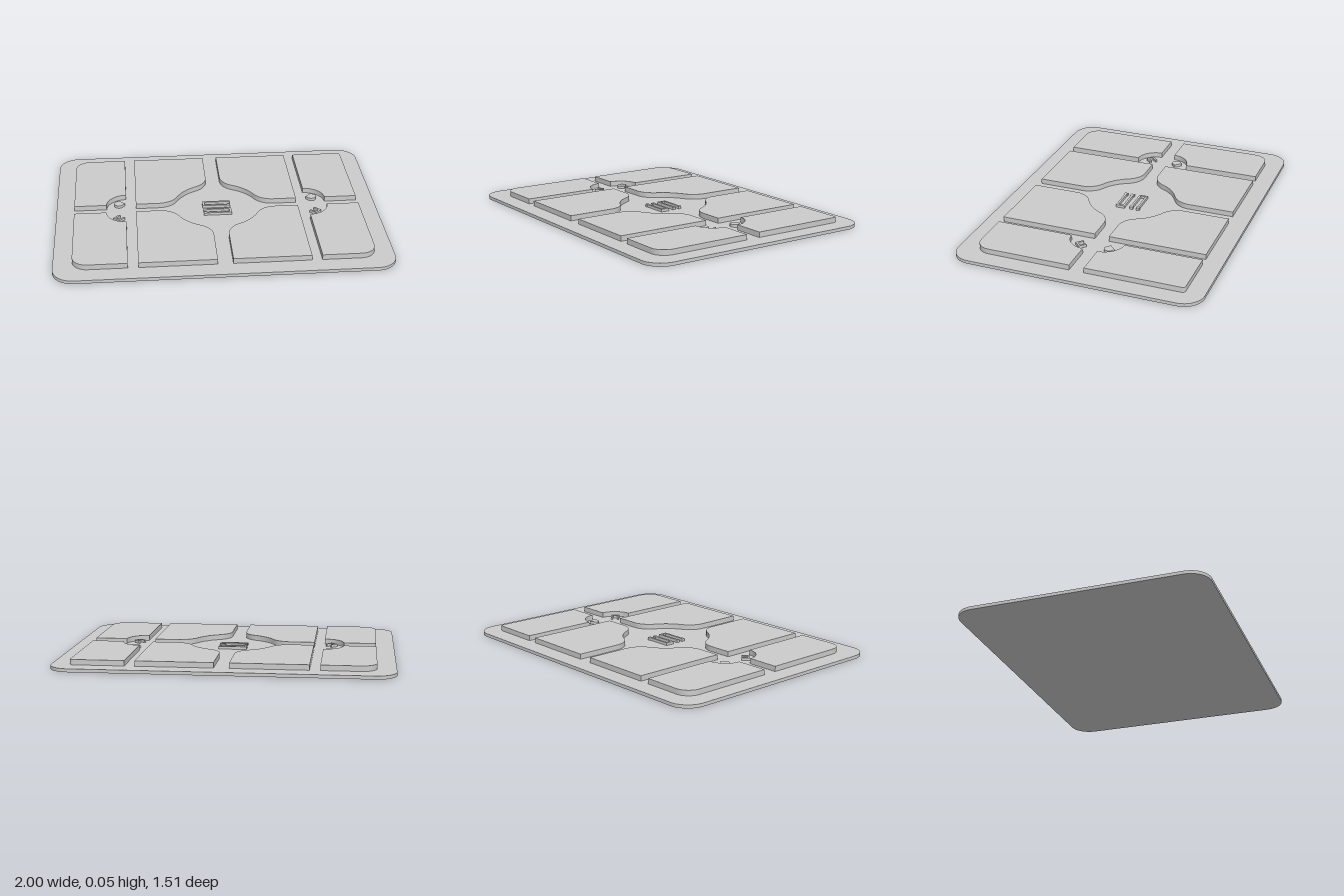
import * as THREE from 'three';
import { toCreasedNormals } from 'three/addons/utils/BufferGeometryUtils.js';

const material = new THREE.MeshStandardMaterial({ color: 0xcccccc });
const BASE_TOP = 0.02, BLOCK_TOP = 0.052, MARK_TOP = 0.037;

// Upright prism from an outline of [x, z] points
function prism(name, points, y0, y1) {
  const shape = new THREE.Shape(points.map(([x, z]) => new THREE.Vector2(x, -z)));
  let geo = new THREE.ExtrudeGeometry(shape, { depth: y1 - y0, bevelEnabled: false });
  geo.rotateX(-Math.PI / 2);
  geo.translate(0, y0, 0);
  geo = toCreasedNormals(geo, 0.5);
  const mesh = new THREE.Mesh(geo, material);
  mesh.name = name;
  return mesh;
}

// Points on an arc, angles in radians from +x towards +z
function arc(cx, cz, r, a0, a1, n = 12) {
  return Array.from({ length: n + 1 }, (_, i) => {
    const a = a0 + (a1 - a0) * i / n;
    return [cx + r * Math.cos(a), cz + r * Math.sin(a)];
  });
}

const place = (points, sx, sz) => points.map(([x, z]) => [x * sx, z * sz]);

export function createModel() {
  const group = new THREE.Group();
  const PI = Math.PI;

  // Rounded base plate
  const W = 1, D = 0.755, R = 0.125;
  group.add(prism('basePlate', [
    ...arc(W - R, D - R, R, 0, PI / 2),
    ...arc(R - W, D - R, R, PI / 2, PI),
    ...arc(R - W, R - D, R, PI, 1.5 * PI),
    ...arc(W - R, R - D, R, 1.5 * PI, 2 * PI),
  ], 0, BASE_TOP));

  // Inner block: corner cut by a central circle, blended by two fillets
  const g = 0.045, circle = 0.27, f = 0.13, c = 0.36;
  const t = Math.atan2(c, g + f);
  const inner = [
    [0.505, g], [0.505, 0.643], [g, 0.643],
    ...arc(g + f, c, f, PI, PI + t),
    ...arc(0, 0, circle, t, PI / 2 - t).slice(1, -1),
    ...arc(c, g + f, f, 1.5 * PI - t, 1.5 * PI),
  ];

  // Outer block: concave quarter circle inside, rounded corner outside
  const outer = (r) => [
    ...arc(0.566, g, 0.122, PI / 2, 0),
    [0.888, g],
    ...arc(0.888 - r, 0.643 - r, r, 0, PI / 2),
    [0.566, 0.643],
  ];

  for (const sx of [-1, 1]) {
    for (const sz of [-1, 1]) {
      const r = sx > 0 && sz < 0 ? 0.02 : 0.09;
      group.add(prism('innerBlock', place(inner, sx, sz), BASE_TOP, BLOCK_TOP));
      group.add(prism('outerBlock', place(outer(r), sx, sz), BASE_TOP, BLOCK_TOP));
    }
  }

  // Pair of long brackets in the middle, one turned half round
  const b = 0.013, x0 = -0.088, x1 = 0.085, z0 = -0.074, z1 = -0.018;
  const bracket = [
    [x0, z0], [x1 - 0.018, z0], [x1 - 0.018, z0 - 0.004], [x1, z0 - 0.004],
    [x1, z0 + b + 0.004], [x1 - 0.018, z0 + b + 0.004], [x1 - 0.018, z0 + b],
    [x0 + b, z0 + b], [x0 + b, z1 - b],
    [x1 - 0.018, z1 - b], [x1 - 0.018, z1 - b - 0.004], [x1, z1 - b - 0.004],
    [x1, z1 + 0.004], [x1 - 0.018, z1 + 0.004], [x1 - 0.018, z1], [x0, z1],
  ];
  for (const s of [1, -1]) {
    group.add(prism('centreBracket', place(bracket, s, s), BASE_TOP, MARK_TOP));
  }

  // Small D-shaped and U-shaped markers at 45 degrees beside the outer blocks
  const dShape = [[-0.026, -0.024], [0.026, -0.024], ...arc(0, 0, 0.03, 0, PI, 10)];
  const uShape = [
    [-0.026, -0.024], [-0.014, -0.024], [-0.014, 0.014], [0.014, 0.014],
    [0.014, -0.024], [0.026, -0.024], [0.026, 0.026], [-0.026, 0.026],
  ];
  const markers = [['roundMarker', dShape, -0.088, -PI / 4], ['squareMarker', uShape, 0.088, PI / 4]];
  for (const sx of [-1, 1]) {
    for (const [name, outline, z, turn] of markers) {
      const marker = prism(name, outline, BASE_TOP, MARK_TOP);
      marker.position.set(sx * 0.61, 0, z);
      marker.rotation.y = sx * turn * (name === 'roundMarker' ? -1 : 1);
      group.add(marker);
    }
  }
  return group;
}
